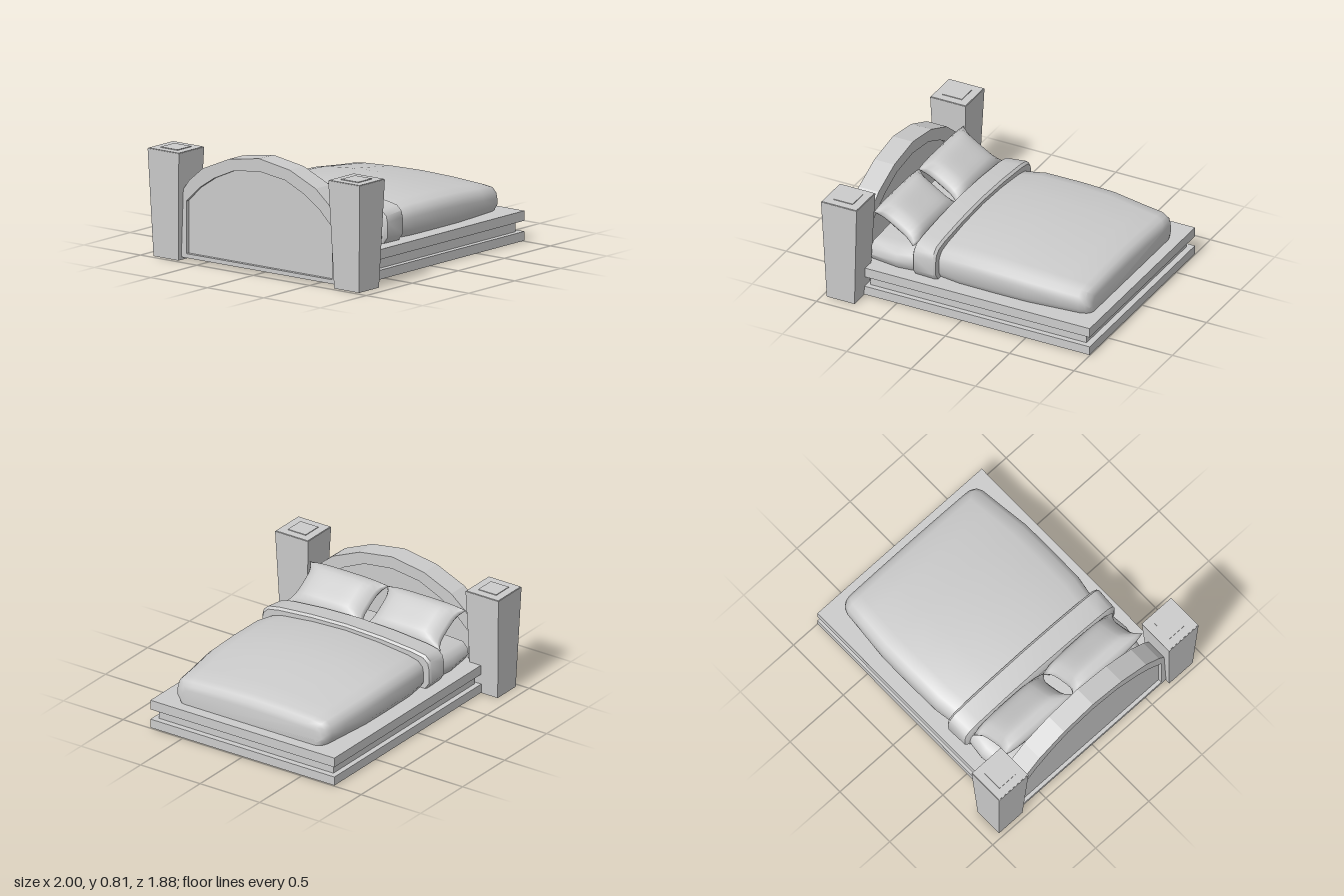
import * as THREE from 'three';
import { mergeVertices, toCreasedNormals } from 'three/addons/utils/BufferGeometryUtils.js';

const grey = new THREE.MeshStandardMaterial({ color: 0xcccccc });

function add(parent, name, geometry, x = 0, y = 0, z = 0) {
  const mesh = new THREE.Mesh(geometry, grey);
  mesh.name = name;
  mesh.position.set(x, y, z);
  parent.add(mesh);
  return mesh;
}

// Box given by its limits
function addBox(parent, name, x0, x1, y0, y1, z0, z1) {
  return add(parent, name, new THREE.BoxGeometry(x1 - x0, y1 - y0, z1 - z0),
    (x0 + x1) / 2, (y0 + y1) / 2, (z0 + z1) / 2);
}

// Domed bedding cross-section [y, z], from +z hem over the crown to -z hem
function beddingRing(base, w, top, crown) {
  const sh = top - crown; // shoulder height
  const half = [
    [base, w * 0.95], [base + 0.05, w], [sh - 0.08, w], [sh - 0.035, w * 0.985],
    [sh, w * 0.93], [sh + crown * 0.35, w * 0.8], [sh + crown * 0.8, w * 0.42],
  ];
  return [...half, [top, 0], ...half.slice().reverse().map(([y, z]) => [y, -z])];
}

// Loft through sections [x, half width, top, crown], capped at both ends
function beddingLoft(base, sections) {
  const rings = sections.map(([, w, top, crown]) => beddingRing(base, w, top, crown));
  const n = rings[0].length;
  const pos = [];
  const index = [];
  rings.forEach((ring, i) => ring.forEach(([y, z]) => pos.push(sections[i][0], y, z)));
  const last = (rings.length - 1) * n;
  for (let i = 0; i < rings.length - 1; i++) {
    for (let j = 0; j < n; j++) {
      const a = i * n + j;
      const b = i * n + ((j + 1) % n);
      index.push(a, a + n, b, b, a + n, b + n);
    }
  }
  for (let j = 1; j < n - 1; j++) {
    index.push(0, j, j + 1, last, last + j + 1, last + j);
  }
  const g = new THREE.BufferGeometry();
  g.setAttribute('position', new THREE.Float32BufferAttribute(pos, 3));
  g.setIndex(index);
  return toCreasedNormals(g, 0.75);
}

// Plump cushion with pinched corners, a = half depth, b = half length
function pillowGeometry(a, b, thick) {
  const g = new THREE.BoxGeometry(2, 2, 2, 10, 2, 12);
  const p = g.attributes.position;
  for (let i = 0; i < p.count; i++) {
    const u = p.getX(i);
    const v = p.getZ(i);
    const puff = Math.sqrt((1 - u ** 4 * 0.9) * (1 - v ** 4 * 0.95));
    const rim = 1 - 0.06 * p.getY(i) ** 2;
    p.setXYZ(i,
      u * a * (1 - 0.06 * v ** 4) * rim,
      p.getY(i) * (0.008 + thick * puff),
      v * b * (1 - 0.13 * (1 - u ** 4)) * rim);
  }
  g.deleteAttribute('uv');
  g.deleteAttribute('normal');
  const merged = mergeVertices(g);
  merged.computeVertexNormals();
  return merged;
}

// Mirror half an arch outline [z, y] about the centre
function archPoints(half) {
  const mirrored = half.slice(0, -1).reverse().map(([z, y]) => [-z, y]);
  return [...half, ...mirrored].map(([z, y]) => new THREE.Vector2(z, y));
}

function extrudeAlongX(shape, depth) {
  return new THREE.ExtrudeGeometry(shape, { depth, bevelEnabled: false }).rotateY(Math.PI / 2);
}

export function createModel() {
  const bed = new THREE.Group();
  bed.name = 'bed';

  // Stepped platform
  addBox(bed, 'lowerSlab', -0.8, 1, 0.005, 0.07, -0.775, 0.77);
  addBox(bed, 'platformCore', -0.725, 0.955, 0.07, 0.145, -0.735, 0.73);
  addBox(bed, 'upperSlab', -0.8, 1, 0.145, 0.215, -0.775, 0.77);

  // Posts, narrowing toward the floor, each with a thin square cap
  for (const side of [-1, 1]) {
    const post = new THREE.Group();
    post.name = side > 0 ? 'leftPost' : 'rightPost';
    post.position.set(-0.86, 0, side * 0.8);
    const g = new THREE.BoxGeometry(0.276, 0.76, 0.276);
    const p = g.attributes.position;
    for (let i = 0; i < p.count; i++) {
      if (p.getY(i) < 0) {
        p.setX(i, p.getX(i) * 0.78);
        p.setZ(i, p.getZ(i) * 0.8);
      }
    }
    g.computeVertexNormals();
    add(post, 'postShaft', g, 0, 0.38, 0);
    addBox(post, 'postRim', -0.134, 0.134, 0.76, 0.764, -0.134, 0.134);
    addBox(post, 'postCap', -0.075, 0.075, 0.76, 0.769, -0.075, 0.075);
    bed.add(post);
  }

  // Arched headboard: frame with a recessed panel
  const outer = [[0.71, 0.02], [0.71, 0.45], [0.62, 0.57], [0.5, 0.67], [0.27, 0.768], [0, 0.81]];
  const inner = [[0.645, 0.05], [0.645, 0.42], [0.53, 0.53], [0.4, 0.615], [0.23, 0.69], [0, 0.72]];
  const frame = new THREE.Shape(archPoints(outer));
  frame.holes.push(new THREE.Path(archPoints(inner)));
  add(bed, 'headboardFrame', extrudeAlongX(frame, 0.155), -0.937);
  add(bed, 'headboardPanel', extrudeAlongX(new THREE.Shape(archPoints(inner)), 0.07), -0.91);

  // Mattress end showing beneath the pillows
  add(bed, 'mattress', beddingLoft(0.21, [
    [-0.78, 0.63, 0.33, 0.01], [-0.765, 0.655, 0.36, 0.015],
    [-0.55, 0.685, 0.385, 0.02], [-0.43, 0.67, 0.395, 0.02], [-0.35, 0.65, 0.395, 0.02],
  ]));

  // Duvet, thinning to a rounded foot end
  add(bed, 'duvet', beddingLoft(0.21, [
    [-0.36, 0.64, 0.46, 0.06], [-0.23, 0.655, 0.47, 0.06], [-0.08, 0.678, 0.488, 0.06],
    [0.2, 0.682, 0.488, 0.06], [0.45, 0.68, 0.47, 0.05], [0.7, 0.655, 0.438, 0.04],
    [0.84, 0.642, 0.418, 0.03], [0.885, 0.625, 0.4, 0.025], [0.908, 0.6, 0.37, 0.02],
    [0.916, 0.57, 0.335, 0.012],
  ]));

  // Turned-back band across the top of the duvet
  add(bed, 'duvetFold', beddingLoft(0.212, [
    [-0.418, 0.685, 0.475, 0.05], [-0.405, 0.703, 0.495, 0.05],
    [-0.25, 0.71, 0.51, 0.05], [-0.233, 0.7, 0.495, 0.05],
  ]));

  // Two pillows leaning on the headboard
  for (const side of [-1, 1]) {
    const pillow = add(bed, side > 0 ? 'leftPillow' : 'rightPillow',
      pillowGeometry(0.19, 0.33, 0.078), -0.585, 0.51, side * 0.325);
    pillow.rotation.z = -0.56;
  }

  return bed;
}
